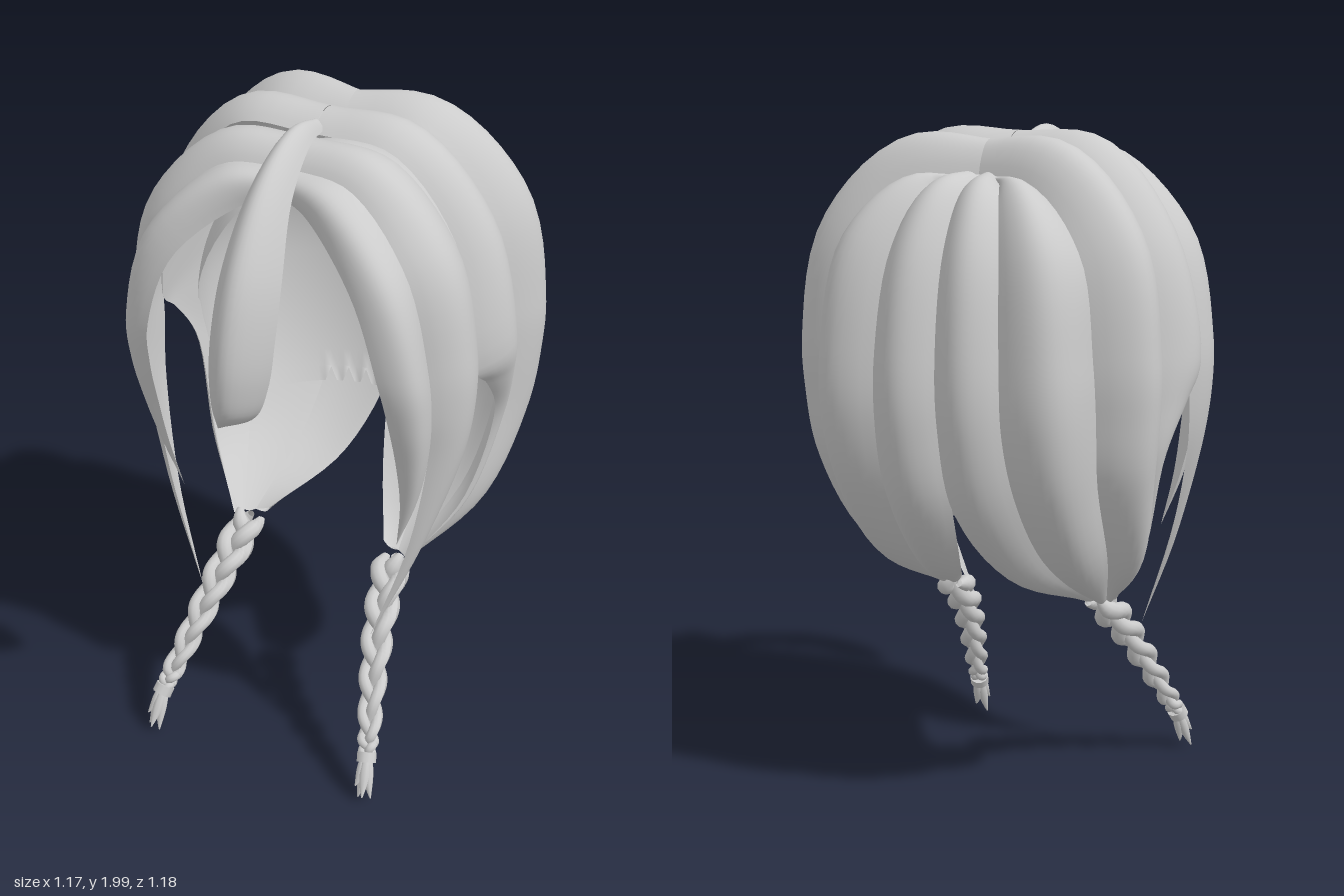
import * as THREE from 'three';
import { mergeGeometries } from 'three/addons/utils/BufferGeometryUtils.js';

const material = new THREE.MeshStandardMaterial({ color: 0xcccccc, side: THREE.DoubleSide });
const V = (p) => new THREE.Vector3(...p);
const curve = (pts) => new THREE.CatmullRomCurve3(pts.map(V));
const CENTRE = V([0, 1.25, -0.05]);

// Smooth surface from fn(u, v) -> Vector3, facing du x dv
function grid(fn, nu, nv) {
  const pos = [], index = [];
  for (let i = 0; i <= nu; i++) {
    for (let j = 0; j <= nv; j++) {
      pos.push(...fn(i / nu, j / nv).toArray());
      if (i < nu && j < nv) {
        const a = i * (nv + 1) + j, b = a + nv + 1;
        index.push(a, b, a + 1, b, b + 1, a + 1);
      }
    }
  }
  const g = new THREE.BufferGeometry();
  g.setAttribute('position', new THREE.Float32BufferAttribute(pos, 3));
  g.setIndex(index);
  g.computeVertexNormals();
  return g;
}

function addMesh(parent, name, geometry) {
  const m = new THREE.Mesh(geometry, material);
  m.name = name;
  parent.add(m);
  return m;
}

// Lock of hair between two edge curves, bulging outward; s = -1 mirrors it
function lock(edgeA, edgeB, bulge, s = 1) {
  const ca = curve(edgeA), cb = curve(edgeB);
  const mid = (u) => ca.getPoint(u).lerp(cb.getPoint(u), 0.5);
  const surface = (k) => (u, v) => {
    const t = s > 0 ? v : 1 - v;
    const a = ca.getPoint(u), b = cb.getPoint(u);
    const chord = b.clone().sub(a), width = chord.length();
    chord.normalize();
    const tangent = mid(Math.min(1, u + 0.01)).sub(mid(Math.max(0, u - 0.01)));
    tangent.addScaledVector(chord, -tangent.dot(chord)).normalize();
    const out = mid(u).sub(CENTRE);
    out.addScaledVector(chord, -out.dot(chord));
    out.addScaledVector(tangent, -out.dot(tangent)).normalize();
    const p = a.lerp(b, t).addScaledVector(out, k * width * Math.sin(Math.PI * t) ** 0.85);
    p.x *= s;
    return p;
  };
  const outer = surface(bulge), inner = surface(0.04);
  return mergeGeometries([
    grid(outer, 40, 12),
    grid((u, v) => inner(u, 1 - v), 40, 6),
  ]);
}

// Tube along path(u) with a varying radius
function taperedTube(path, radius, nu, sides) {
  return grid((u, v) => {
    const p = path(u);
    const t = path(u + 0.005).sub(path(u - 0.005)).normalize();
    const n = new THREE.Vector3(0, 0, 1).cross(t).normalize();
    const b = t.clone().cross(n);
    const a = v * Math.PI * 2, r = radius(u);
    return p.addScaledVector(n, Math.cos(a) * r).addScaledVector(b, Math.sin(a) * r);
  }, nu, sides);
}

// Edges of the left-side locks, from face to nape
const faceEdge = [[0, 1.82, 0.26], [0.1, 1.79, 0.3], [0.28, 1.63, 0.385], [0.365, 1.4, 0.395], [0.385, 1.25, 0.36], [0.39, 1.1, 0.315], [0.385, 0.95, 0.275], [0.36, 0.79, 0.24]];
const templeTop = [[0, 1.89, 0.22], [0.2, 1.87, 0.24], [0.39, 1.68, 0.28], [0.46, 1.4, 0.27], [0.47, 1.25, 0.26], [0.455, 1.1, 0.245]];
const faceBack = [...templeTop, [0.42, 0.95, 0.235], [0.36, 0.79, 0.24]];
const templeFront = [...templeTop, [0.4, 0.8, 0.245], [0.29, 0.46, 0.265]];
const templeBack = [[0, 1.93, 0.08], [0.25, 1.91, 0.08], [0.45, 1.68, 0.07], [0.515, 1.4, 0.07], [0.515, 1.25, 0.07], [0.5, 1.08, 0.1], [0.41, 0.76, 0.19], [0.29, 0.46, 0.265]];
const earEdge = [[0, 1.94, 0.08], [0.25, 1.925, 0.08], [0.45, 1.68, 0.07], [0.515, 1.32, 0.075], [0.52, 1.25, 0], [0.505, 1.1, -0.1], [0.43, 0.8, -0.06], [0.3, 0.6, 0.05]];
const sideEdge = [[0, 1.93, -0.1], [0.25, 1.92, -0.11], [0.45, 1.69, -0.14], [0.507, 1.4, -0.155], [0.51, 1.25, -0.16], [0.5, 1.08, -0.16], [0.44, 0.8, -0.08], [0.29, 0.6, 0.04]];
const rearEdge = [[-0.03, 1.885, -0.25], [0.2, 1.86, -0.31], [0.37, 1.68, -0.37], [0.415, 1.4, -0.385], [0.42, 1.25, -0.375], [0.41, 1.05, -0.34], [0.38, 0.8, -0.2], [0.28, 0.6, 0.02]];
const napeEdge = [[0.06, 1.87, -0.24], [0.12, 1.84, -0.37], [0.17, 1.68, -0.47], [0.195, 1.4, -0.52], [0.2, 1.2, -0.515], [0.21, 1.0, -0.45], [0.22, 0.78, -0.28], [0.25, 0.6, 0]];
const centreEdge = [[0, 1.88, -0.24], [0, 1.84, -0.37], [0, 1.68, -0.475], [0, 1.4, -0.525], [0, 1.2, -0.515], [0, 0.95, -0.43], [0.07, 0.73, -0.25], [0.2, 0.62, 0]];

// Name, front edge, back edge, bulge
const LOCKS = [
  ['FaceLock', faceEdge, faceBack, 0.35],
  ['TempleLock', templeFront, templeBack, 0.26],
  ['EarLock', earEdge, sideEdge, 0.3],
  ['SideLock', sideEdge, rearEdge, 0.44],
  ['RearLock', rearEdge, napeEdge, 0.36],
  ['NapeLock', napeEdge, centreEdge, 0.3],
];

// Inner cap with a high front hairline, low back and jagged hem
function scalp() {
  const { lerp, smoothstep } = THREE.MathUtils;
  return grid((u, v) => {
    const a = (0.5 - v) * Math.PI * 2, d = Math.abs(a);
    let hem = lerp(0.92, 1.1, smoothstep(d, 1.2, 1.75));
    hem = lerp(hem, 1.34, smoothstep(d, 1.7, 1.95));
    hem = lerp(hem, 1.77, smoothstep(d, 1.95, 2.6));
    const height = (c) => 1.35 + c * (c > 0 ? 0.5 : 0.72);
    const theta = u * Math.acos((hem - 1.35) / (hem > 1.35 ? 0.5 : 0.72));
    const r = Math.sin(theta);
    const tooth = u === 1 && d < 0.65 && Math.round(v * 112) % 3 === 2 ? 0.05 : 0;
    return new THREE.Vector3(0.42 * r * Math.sin(a), height(Math.cos(theta)) + tooth, -0.07 - 0.385 * r * Math.cos(a));
  }, 28, 112);
}

// Three-strand braid with a band and a small tuft
function braid(s) {
  const group = new THREE.Group();
  const spine = curve([[0.25, 0.6, 0.03], [0.275, 0.47, 0.165], [0.31, 0.32, 0.28], [0.345, 0.18, 0.375], [0.357, 0.13, 0.41]]
    .map(([x, y, z]) => [x * s, y, z]));
  const dir = spine.getTangent(0.7);
  const side = new THREE.Vector3(1, 0, 0).addScaledVector(dir, -dir.x).normalize();
  const depth = side.clone().cross(dir).normalize();
  const taper = (u) => 1 - 0.6 * u;
  for (let k = 0; k < 3; k++) {
    const path = (u) => {
      const phi = u * Math.PI * 2 * 2.3 + (k * Math.PI * 2) / 3;
      return spine.getPoint(Math.min(1, Math.max(0, u)))
        .addScaledVector(dir, Math.min(0, u) + Math.max(0, u - 1))
        .addScaledVector(side, 0.035 * taper(u) * Math.sin(phi) * s)
        .addScaledVector(depth, 0.022 * taper(u) * Math.sin(2 * phi));
    };
    const radius = (u) => 0.028 * taper(u) * Math.min(1, 0.4 + u * 12);
    addMesh(group, 'braidStrand', taperedTube(path, radius, 80, 10));
  }
  const end = spine.getPoint(1);
  const band = addMesh(group, 'braidBand', new THREE.CylinderGeometry(0.03, 0.03, 0.03, 12));
  band.position.copy(end);
  band.quaternion.setFromUnitVectors(new THREE.Vector3(0, 1, 0), dir);
  // Tuft below the band
  for (let k = 0; k < 5; k++) {
    const a = (k * Math.PI * 2) / 5;
    const spread = side.clone().multiplyScalar(Math.cos(a)).addScaledVector(depth, Math.sin(a));
    const down = V([0.1 * s, -0.88, 0.4]).normalize();
    const path = (u) => end.clone()
      .addScaledVector(down, u * (k % 2 ? 0.09 : 0.125))
      .addScaledVector(spread, 0.008 + 0.018 * u * u);
    addMesh(group, 'braidTuft', taperedTube(path, (u) => 0.002 + 0.014 * Math.sin(Math.PI * (0.2 + 0.8 * u)), 12, 8));
  }
  return group;
}

export function createModel() {
  const model = new THREE.Group();
  model.name = 'braidedHair';
  addMesh(model, 'scalpCap', scalp());

  for (const s of [1, -1]) {
    const prefix = s > 0 ? 'left' : 'right';
    for (const [name, front, back, bulge] of LOCKS) addMesh(model, prefix + name, lock(front, back, bulge, s));
    const b = braid(s);
    b.name = prefix + 'Braid';
    model.add(b);
  }

  // Fringe curling forward over the face
  const fringeRight = [[-0.025, 1.95, 0.06], [-0.045, 1.945, 0.18], [-0.065, 1.84, 0.33], [-0.088, 1.66, 0.435], [-0.098, 1.5, 0.48], [-0.1, 1.38, 0.495], [-0.09, 1.27, 0.5], [-0.07, 1.2, 0.51]];
  const fringeLeft = [[0.025, 1.95, 0.06], [0.045, 1.945, 0.18], [0.07, 1.84, 0.33], [0.098, 1.66, 0.435], [0.1, 1.5, 0.48], [0.085, 1.36, 0.495], [0.045, 1.26, 0.5], [-0.07, 1.2, 0.51]];
  addMesh(model, 'fringe', lock(fringeRight, fringeLeft, 0.55));
  return model;
}
